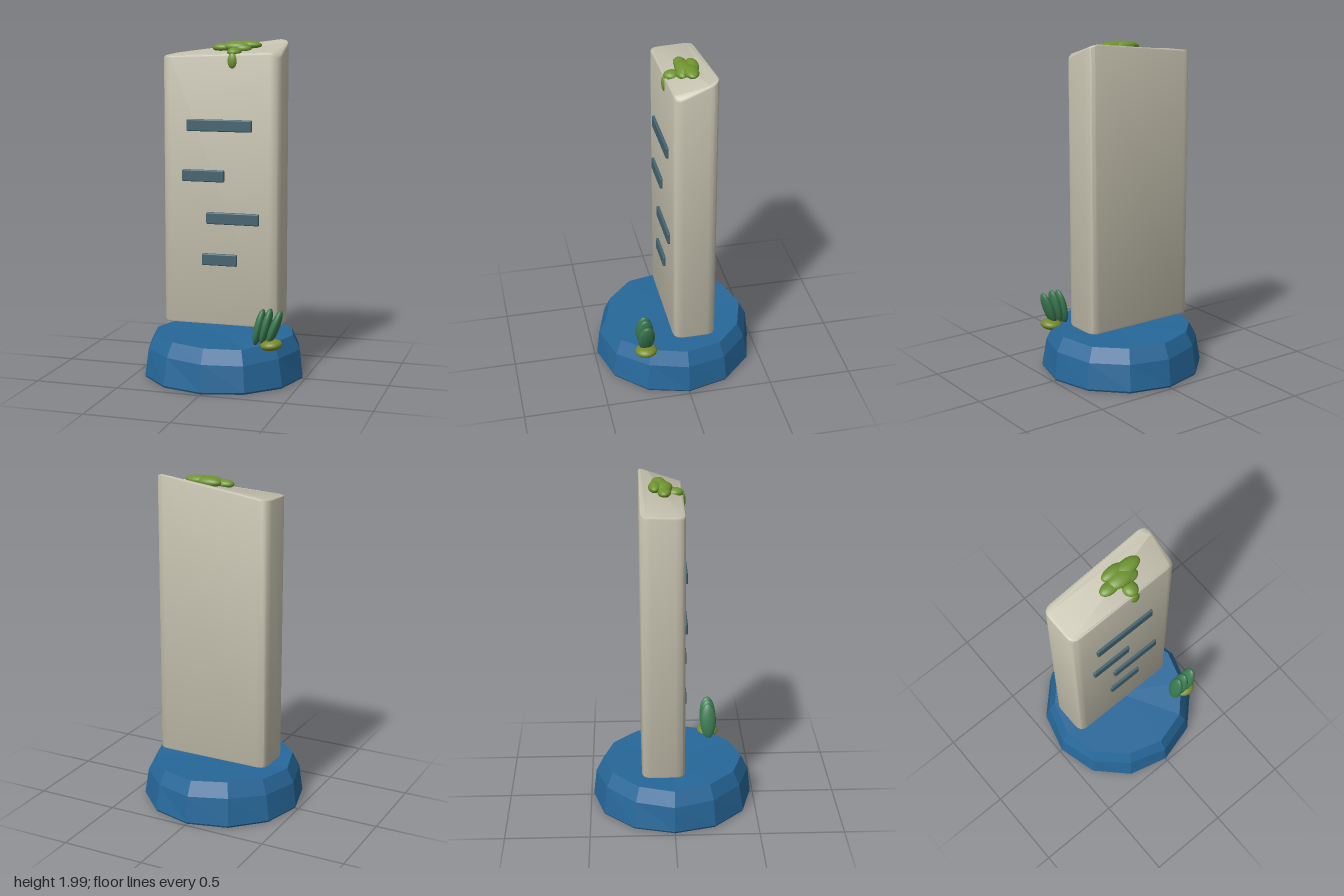
import * as THREE from 'three';
import { toCreasedNormals } from 'three/addons/utils/BufferGeometryUtils.js';
import { RoundedBoxGeometry } from 'three/addons/geometries/RoundedBoxGeometry.js';

const material = (name, color, extra = {}) => {
  const m = new THREE.MeshStandardMaterial({ color, ...extra });
  m.name = name;
  return m;
};

// Move every vertex of a geometry by a rule
function reshape(geometry, rule) {
  const pos = geometry.attributes.position;
  const v = new THREE.Vector3();
  for (let i = 0; i < pos.count; i++) {
    rule(v.fromBufferAttribute(pos, i));
    pos.setXYZ(i, v.x, v.y, v.z);
  }
  geometry.computeVertexNormals();
  return geometry;
}

export function createModel() {
  const stone = material('pale stone', 0xc4c0ae);
  const rock = material('blue rock', 0x27689a, { flatShading: true });
  const slate = material('dark slate', 0x44636f);
  const moss = material('moss green', 0x6f9430);
  const olive = material('olive green', 0x77892a);
  const leaf = material('leaf green', 0x3a7950);

  const model = new THREE.Group();
  model.name = 'monument';

  const add = (parent, name, geometry, mat, x = 0, y = 0, z = 0) => {
    const mesh = new THREE.Mesh(geometry, mat);
    mesh.name = name;
    mesh.position.set(x, y, z);
    parent.add(mesh);
    return mesh;
  };
  const blob = (parent, name, mat, [x, y, z], [rx, ry, rz], tilt = 0) => {
    const mesh = add(parent, name, new THREE.SphereGeometry(1, 24, 16), mat, x, y, z);
    mesh.scale.set(rx, ry, rz);
    mesh.rotation.z = tilt;
  };

  // Twelve-sided faceted base with an uneven rim and a slightly sunken top
  const profile = [[0, 0], [0.478, 0], [0.485, 0.012], [0.462, 0.17], [0.42, 0.255], [0, 0.245]]
    .map(([r, y]) => new THREE.Vector2(r, y));
  const base = reshape(new THREE.LatheGeometry(profile, 12), (v) => {
    const r = Math.hypot(v.x, v.z);
    if (r < 0.01 || v.y < 0.1) return;
    const a = Math.atan2(v.x, v.z);
    v.y += 0.007 * Math.sin(3 * a + 3.6) + 0.003 * Math.cos(5 * a);
    const s = 1 + 0.012 * Math.sin(4 * a + 1);
    v.x *= s;
    v.z *= s;
  });
  add(model, 'rockBase', base, rock);

  // Floating slab: rounded footprint, extruded upwards, with a slanted top
  const x0 = -0.365, x1 = 0.348, z0 = -0.19, z1 = 0.065, bevel = 0.012, c = 0.045;
  const [l, r, b, t] = [x0 + bevel, x1 - bevel, -z1 + bevel, -z0 - bevel];
  const outline = new THREE.Shape();
  outline.moveTo(l + c, b);
  outline.lineTo(r - c, b);
  outline.quadraticCurveTo(r, b, r, b + c);
  outline.lineTo(r, t - c);
  outline.quadraticCurveTo(r, t, r - c, t);
  outline.lineTo(l + c, t);
  outline.quadraticCurveTo(l, t, l, t - c);
  outline.lineTo(l, b + c);
  outline.quadraticCurveTo(l, b, l + c, b);
  const bottom = 0.305;
  const slab = new THREE.ExtrudeGeometry(outline, {
    depth: 1, curveSegments: 4, bevelThickness: bevel, bevelSize: bevel, bevelSegments: 2,
  });
  slab.rotateX(-Math.PI / 2);
  slab.translate(0, bottom + bevel, 0);
  reshape(slab, (v) => {
    if (v.y < 1) return;
    const u = (v.x - x0) / (x1 - x0);
    const back = (z1 - v.z) / (z1 - z0);
    const front = 1.897 + 0.025 * u;
    const rear = 1.908 + 0.096 * u;
    // The right edge falls away towards the front
    const dip = 0.035 * Math.max(0, (v.x - 0.3) / (x1 - 0.3)) * (1 - 0.7 * back);
    v.y += front + (rear - front) * back - dip - (bottom + 1 + 2 * bevel);
  });
  add(model, 'slab', toCreasedNormals(slab, 0.6), stone);

  // Raised bars on the front: centre x, y, width
  const bars = new THREE.Group();
  bars.name = 'frontBars';
  model.add(bars);
  for (const [x, y, w] of [[-0.012, 1.497, 0.395], [-0.11, 1.2, 0.257], [0.07, 0.95, 0.32], [-0.01, 0.702, 0.215]]) {
    add(bars, 'bar', new RoundedBoxGeometry(w, 0.07, 0.03, 2, 0.007), slate, x, y, 0.066);
  }

  // Moss patch on the top with a drip over the front edge
  const patch = new THREE.Group();
  patch.name = 'mossPatch';
  model.add(patch);
  for (const [centre, radii] of [
    [[0.045, 1.957, -0.098], [0.075, 0.028, 0.037]],
    [[-0.025, 1.945, -0.045], [0.06, 0.025, 0.038]],
    [[0.125, 1.96, -0.075], [0.08, 0.026, 0.043]],
    [[0.06, 1.95, -0.05], [0.09, 0.032, 0.052]],
    [[0.1, 1.94, -0.03], [0.055, 0.027, 0.035]],
    [[0.065, 1.92, 0.02], [0.043, 0.028, 0.048]],
    [[0.065, 1.873, 0.062], [0.028, 0.045, 0.017]],
  ]) blob(patch, 'mossClump', moss, centre, radii);

  // Small plant on the rim
  const plant = new THREE.Group();
  plant.name = 'plant';
  model.add(plant);
  blob(plant, 'plantMoss', olive, [0.352, 0.256, 0.238], [0.066, 0.033, 0.066], 0.12);
  for (const [x, y, tilt] of [[0.28, 0.356, -0.22], [0.322, 0.362, -0.25], [0.372, 0.358, -0.36]]) {
    blob(plant, 'leaf', leaf, [x, y, 0.238], [0.027, 0.112, 0.05], tilt);
  }

  return model;
}
